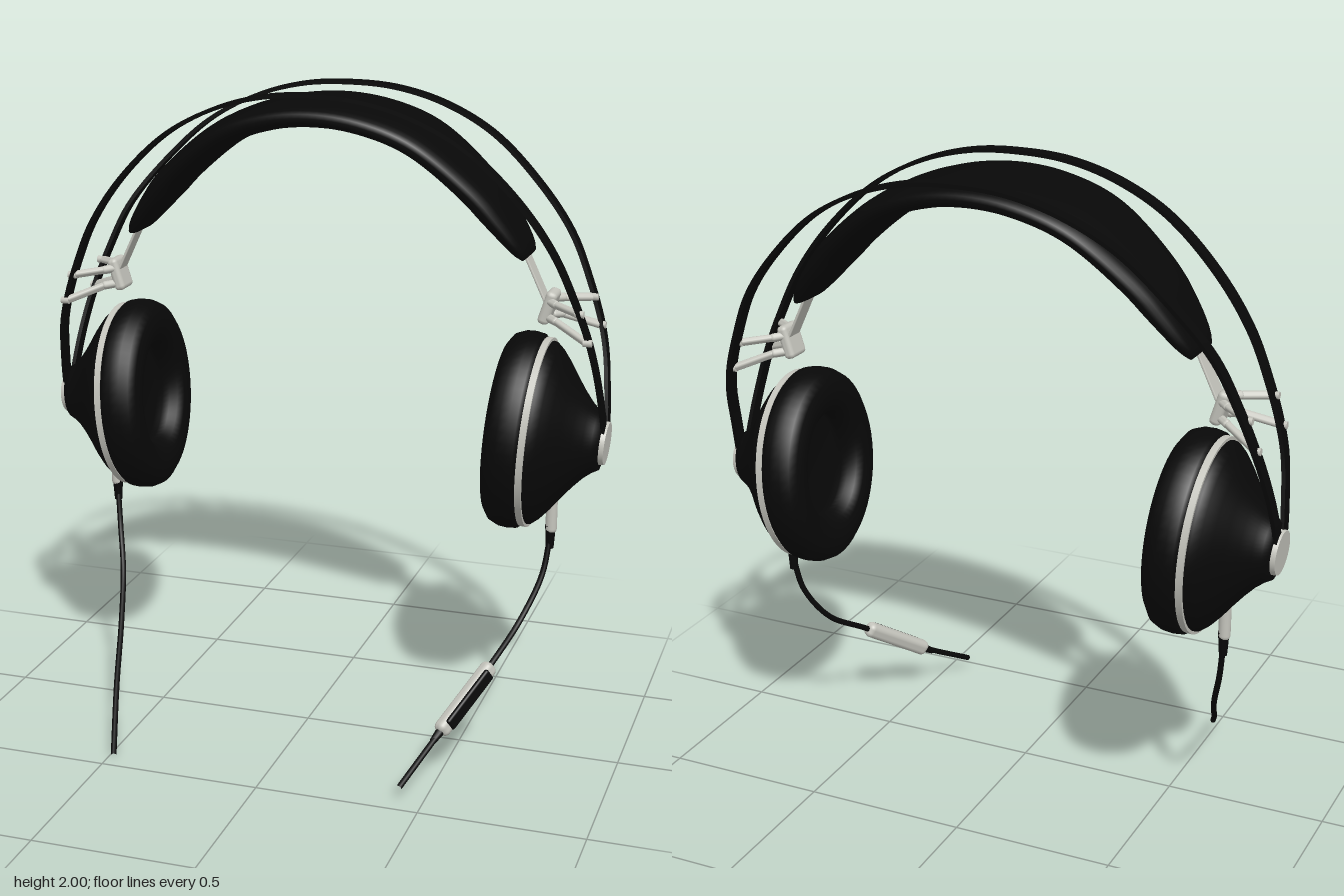
import * as THREE from 'three';
import { toCreasedNormals } from 'three/addons/utils/BufferGeometryUtils.js';
import { RoundedBoxGeometry } from 'three/addons/geometries/RoundedBoxGeometry.js';

const V = (x, y, z) => new THREE.Vector3(x, y, z);
const mat = (name, color) => Object.assign(new THREE.MeshStandardMaterial({ color }), { name });

const CENTRE_Z = -0.195; // depth of the ear cup axis

function add(parent, name, geometry, material, position = V(0, 0, 0)) {
  const mesh = new THREE.Mesh(geometry, material);
  mesh.name = name;
  mesh.position.copy(position);
  parent.add(mesh);
  return mesh;
}

// Skin a row of equal-sized rings and close both ends
function loft(rings) {
  const n = rings[0].length, last = rings.length - 1, index = [];
  const points = rings.flat();
  for (let i = 0; i < last; i++) {
    for (let j = 0; j < n; j++) {
      const a = i * n + j, b = i * n + (j + 1) % n;
      index.push(a, b, a + n, b, b + n, a + n);
    }
  }
  for (const end of [0, last]) {
    const c = points.length;
    points.push(rings[end].reduce((s, p) => s.add(p), V(0, 0, 0)).divideScalar(n));
    for (let j = 0; j < n; j++) {
      const a = end * n + j, b = end * n + (j + 1) % n;
      if (end) index.push(c, a, b); else index.push(c, b, a);
    }
  }
  const g = new THREE.BufferGeometry().setFromPoints(points);
  g.setIndex(index);
  g.computeVertexNormals();
  return g;
}

// Curve through a right-hand half list [x, y, third], mirrored over x = 0
function archCurve(half) {
  const left = half.map(([x, y, w]) => V(-x, y, w)).reverse();
  const right = half.slice(1).map(([x, y, w]) => V(x, y, w));
  return new THREE.CatmullRomCurve3([...left, ...right]);
}

// Sweep a section over an arch; section(p, t) returns [along normal, z] pairs
function sweepArch(curve, steps, section) {
  const rings = [];
  for (let i = 0; i <= steps; i++) {
    const p = curve.getPointAt(i / steps), t = curve.getTangentAt(i / steps);
    const len = Math.hypot(t.x, t.y), nx = -t.y / len, ny = t.x / len;
    rings.push(section(p, i / steps).map(([h, z]) => V(p.x + nx * h, p.y + ny * h, z)));
  }
  return loft(rings);
}

// Surface of revolution about x, squeezed in z to an oval
function ovalLathe(profile) {
  return new THREE.LatheGeometry(profile.map(([r, a]) => new THREE.Vector2(r, a)), 56)
    .rotateZ(-Math.PI / 2).scale(1, 1, 0.855);
}

// Rounded bar between two points
function bar(parent, name, a, b, width, depth, material) {
  const d = b.clone().sub(a);
  const g = new RoundedBoxGeometry(width, d.length(), depth, 2, Math.min(width, depth) * 0.4);
  const mesh = add(parent, name, g, material, a.clone().add(b).multiplyScalar(0.5));
  mesh.quaternion.setFromUnitVectors(V(0, 1, 0), d.normalize());
  return mesh;
}

function makeSide(black, silver) {
  const side = new THREE.Group();

  // Ear cup, leaning outward at the top
  const cup = new THREE.Group();
  cup.name = 'earCup';
  cup.position.set(0.68, 0.975, 0);
  cup.rotation.z = -0.07;
  side.add(cup);
  add(cup, 'earCushion', ovalLathe([
    [0, -0.035], [0.17, -0.035], [0.165, -0.06], [0.163, -0.085], [0.175, -0.11], [0.2, -0.126],
    [0.235, -0.131], [0.27, -0.125], [0.295, -0.108], [0.307, -0.08], [0.309, -0.05],
    [0.305, -0.025], [0.292, -0.012], [0, -0.012]]), black);
  add(cup, 'trimRing', toCreasedNormals(ovalLathe([
    [0, -0.014], [0.297, -0.014], [0.297, 0.006], [0, 0.006]]), 0.6), silver);
  add(cup, 'cupShell', ovalLathe([
    [0.288, 0], [0.286, 0.014], [0.268, 0.035], [0.235, 0.062], [0.195, 0.09], [0.155, 0.12],
    [0.12, 0.15], [0.098, 0.175], [0.085, 0.196], [0, 0.196]]), black);
  add(cup, 'cupCap', new THREE.CylinderGeometry(0.066, 0.07, 0.03, 40).rotateZ(-Math.PI / 2),
    silver, V(0.196, 0, 0));

  // Cable socket and strain relief
  add(side, 'cableSocket', new THREE.CapsuleGeometry(0.018, 0.085, 6, 16), silver, V(0.728, 0.712, 0));
  add(side, 'strainRelief', new THREE.CylinderGeometry(0.017, 0.012, 0.075, 16), black, V(0.726, 0.642, 0));

  // Slider strip and block under the pad
  bar(side, 'sliderStrip', V(0.615, 1.55, 0), V(0.695, 1.38, 0), 0.008, 0.062, silver);
  bar(side, 'sliderBlock', V(0.713, 1.425, 0), V(0.682, 1.325, 0), 0.035, 0.085, silver);

  // Four bent arms out to the bands
  for (const s of [-1, 1]) {
    for (const [y0, y1, x1] of [[1.395, 1.385, 0.808], [1.345, 1.3, 0.835]]) {
      const start = V(0.7, y0, s * 0.025);
      const elbow = V(0.735, y0 - 0.003, s * 0.06);
      const tip = V(x1, y1, s * 0.115);
      bar(side, 'sliderArm', start, elbow, 0.026, 0.024, silver);
      bar(side, 'sliderArm', elbow.clone().lerp(start, 0.2), tip, 0.024, 0.02, silver);
      add(side, 'armScrew', new THREE.CylinderGeometry(0.011, 0.011, 0.026, 16).rotateZ(Math.PI / 2),
        silver, tip.clone().add(V(0.003, 0, 0)));
    }
  }
  return side;
}

export function createModel() {
  const black = mat('matte black', 0x080808);
  const silver = mat('satin silver', 0xc4c4bc);
  const model = new THREE.Group();
  model.name = 'headphones';

  // Cups, sliders and sockets: the second side is the first turned half round
  for (const [name, turn] of [['leftSide', 0], ['rightSide', Math.PI]]) {
    const side = makeSide(black, silver);
    side.name = name;
    side.position.z = CENTRE_Z;
    side.rotation.y = turn;
    model.add(side);
  }

  // Two thin flat bands, converging on the cup caps
  const outline = [[0, 1.994], [0.15, 1.984], [0.308, 1.941], [0.467, 1.857], [0.623, 1.711],
    [0.73, 1.562], [0.795, 1.42], [0.835, 1.31], [0.858, 1.22], [0.875, 1.1], [0.882, 1.0], [0.872, 0.93]];
  const bandDepths = {
    frontBand: [-0.037, -0.037, -0.04, -0.046, -0.058, -0.07, -0.084, -0.097, -0.11, -0.143, -0.168, -0.172],
    rearBand: [-0.434, -0.433, -0.43, -0.418, -0.395, -0.365, -0.34, -0.32, -0.294, -0.25, -0.222, -0.218],
  };
  for (const [name, depths] of Object.entries(bandDepths)) {
    const drop = name === 'rearBand' ? 0.012 : 0;
    const curve = archCurve(outline.map(([x, y], i) => [x, y - (i < 5 ? drop : 0), depths[i]]));
    const g = sweepArch(curve, 110, p => [[0.006, p.z - 0.022], [0.006, p.z + 0.022],
      [-0.006, p.z + 0.022], [-0.006, p.z - 0.022]]);
    add(model, name, toCreasedNormals(g, 0.6), black);
  }

  // Padded headband; the third number is half its width
  const padCurve = archCurve([[0, 1.932, 0.21], [0.15, 1.915, 0.207], [0.3, 1.86, 0.195],
    [0.467, 1.727, 0.162], [0.55, 1.632, 0.135], [0.605, 1.56, 0.105], [0.63, 1.525, 0.078]]);
  const power = (v, e) => Math.sign(v) * Math.abs(v) ** e;
  const pad = sweepArch(padCurve, 64, (p, t) => {
    const ends = Math.min(1, Math.min(t, 1 - t) * 8);
    const thick = 0.012 + 0.03 * Math.sqrt(ends);
    return Array.from({ length: 28 }, (_, j) => {
      const a = j / 28 * Math.PI * 2;
      return [thick * power(Math.cos(a), 0.8), -0.2 + p.z * power(Math.sin(a), 0.8)];
    });
  });
  add(model, 'headbandPad', pad, black);

  // Cables
  const cables = {
    leftCable: [V(0.726, 0.64, -0.195), V(0.71, 0.52, -0.165), V(0.665, 0.4, -0.09),
      V(0.61, 0.305, 0.05), V(0.505, 0.155, 0.265), V(0.43, 0.048, 0.45)],
    rightCable: [V(-0.726, 0.64, -0.195), V(-0.708, 0.52, -0.165), V(-0.67, 0.4, -0.09),
      V(-0.62, 0.28, 0.05), V(-0.555, 0.145, 0.25), V(-0.483, 0.01, 0.45)],
  };
  for (const [name, points] of Object.entries(cables)) {
    const g = new THREE.TubeGeometry(new THREE.CatmullRomCurve3(points), 48, 0.009, 10);
    add(model, name, g, black);
  }

  // In-line remote: silver body with a black button face
  const top = V(0.608, 0.3, 0.06), bottom = V(0.503, 0.153, 0.268);
  const along = top.clone().sub(bottom), length = along.length();
  along.normalize();
  const face = V(1, 0.45, 0.2);
  face.addScaledVector(along, -face.dot(along)).normalize();
  const remote = new THREE.Group();
  remote.name = 'remote';
  remote.position.copy(top).add(bottom).multiplyScalar(0.5);
  remote.quaternion.setFromRotationMatrix(
    new THREE.Matrix4().makeBasis(along.clone().cross(face), along, face));
  model.add(remote);
  add(remote, 'remoteBody', new RoundedBoxGeometry(0.05, length, 0.044, 4, 0.018), silver);
  add(remote, 'remoteButtons', new RoundedBoxGeometry(0.04, length * 0.78, 0.03, 3, 0.008),
    black, V(0, 0, 0.013));
  const relief = new THREE.CylinderGeometry(0.014, 0.01, 0.04, 12);
  add(remote, 'remoteRelief', relief, black, V(0, -length / 2 - 0.015, 0));

  return model;
}
